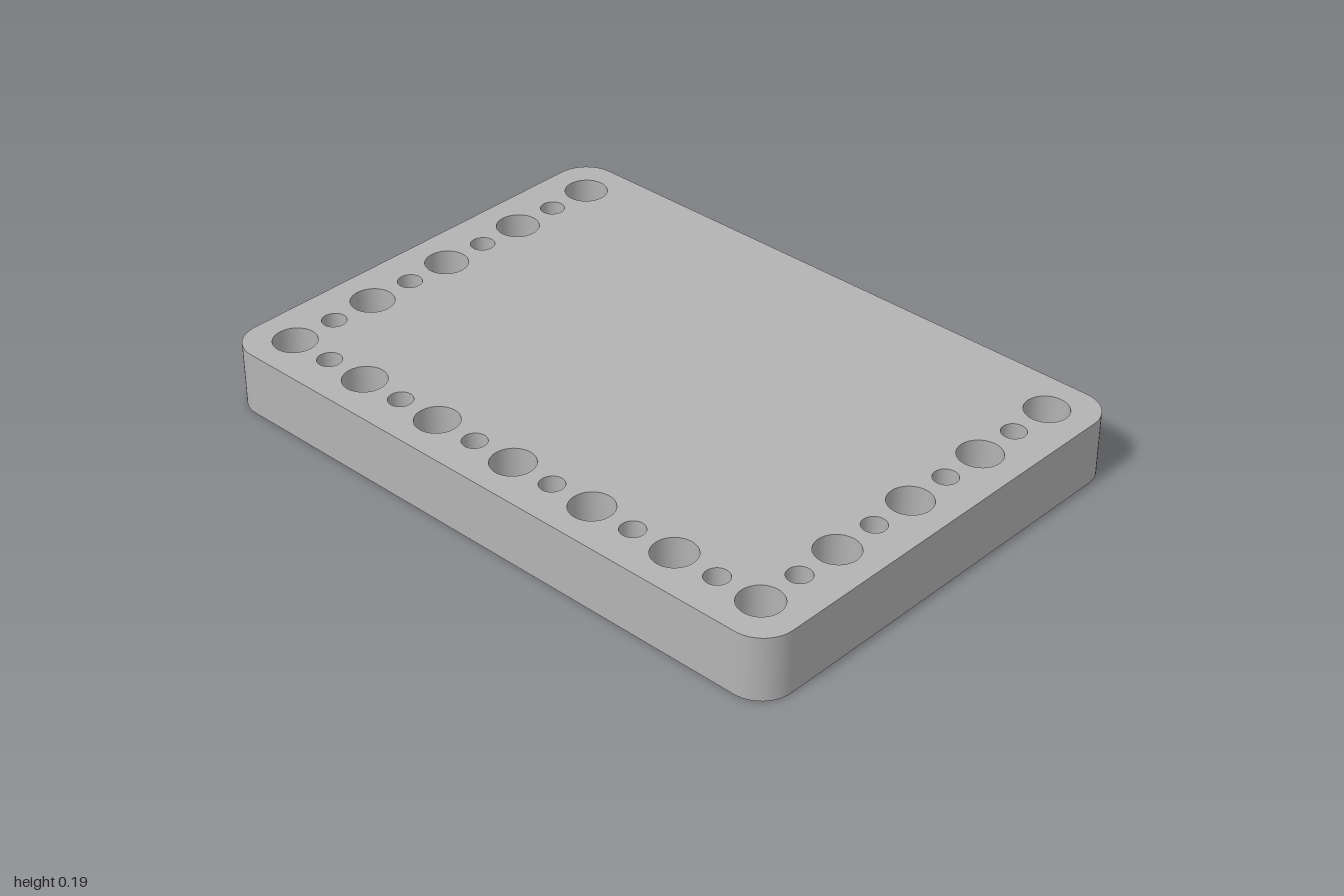
import * as THREE from 'three';

const W = 1, D = 0.71, H = 0.195, CORNER = 0.1;      // half width, half depth, height, corner radius
const PITCH = 0.1443;                                // spacing of the holes
const BIG = 0.064, SMALL = 0.036;                    // hole radii
const GROOVES = [-0.72, -0.24, 0.24, 0.72];          // x of each underside groove
const GROOVE_R = 0.05, GROOVE_END = 0.433;
const RECESS_R = 0.17, RECESS_Z = -D + 0.05;         // arched recess at the back of each groove

// Holes run down both sides and along the front, large and small in turn
function holeList() {
  const holes = [];
  const radius = i => (i % 2 === 0 ? BIG : SMALL);
  for (let i = -6; i <= 6; i++) holes.push({ x: i * PITCH, z: 4 * PITCH, r: radius(i) });
  for (let i = -4; i < 4; i++) {
    for (const side of [-1, 1]) holes.push({ x: side * 6 * PITCH, z: i * PITCH, r: radius(i) });
  }
  return holes;
}

// Rounded plate outline; s = 1 draws z as is, s = -1 mirrors it. The back edge may be notched.
function plateShape(holes, s, notched) {
  const shape = new THREE.Shape();
  const corner = (x, z, a) => {
    for (let i = 0; i <= 12; i++) {
      const t = a + (i / 12) * Math.PI / 2;
      shape.lineTo(x + CORNER * Math.cos(t), s * (z + CORNER * Math.sin(t)));
    }
  };
  const cx = W - CORNER, cz = D - CORNER;
  shape.moveTo(W, s * -cz);
  corner(cx, cz, 0);
  corner(-cx, cz, Math.PI / 2);
  corner(-cx, -cz, Math.PI);
  if (notched) {
    for (const g of GROOVES) {
      const half = [[RECESS_R, -D], [RECESS_R, RECESS_Z], [GROOVE_R, RECESS_Z], [GROOVE_R, GROOVE_END]];
      half.forEach(([w, z]) => shape.lineTo(g - w, s * z));
      half.reverse().forEach(([w, z]) => shape.lineTo(g + w, s * z));
    }
  }
  corner(cx, -cz, -Math.PI / 2);
  for (const h of holes) {
    shape.holes.push(new THREE.Path().absarc(h.x, s * h.z, h.r, 0, Math.PI * 2, true));
  }
  return shape;
}

// Half tube open to below, running along z
function halfTube(r, z0, z1) {
  return new THREE.CylinderGeometry(r, r, z1 - z0, 32, 1, true, Math.PI / 2, Math.PI)
    .rotateX(Math.PI / 2).translate(0, 0, (z0 + z1) / 2);
}

export function createModel() {
  const model = new THREE.Group();
  model.name = 'groovedBlock';
  const grey = new THREE.MeshStandardMaterial({ color: 0xb3b3b3, side: THREE.DoubleSide });
  grey.name = 'grey';

  const add = (name, geometry, parent = model) => {
    const mesh = new THREE.Mesh(geometry, grey);
    mesh.name = name;
    parent.add(mesh);
    return mesh;
  };
  const holes = holeList();

  // Top and underside
  add('topFace', new THREE.ShapeGeometry(plateShape(holes, -1, false), 16)
    .rotateX(-Math.PI / 2).translate(0, H, 0));
  add('underside', new THREE.ShapeGeometry(plateShape(holes, 1, true), 16).rotateX(Math.PI / 2));

  // Outer walls
  const cx = W - CORNER, cz = D - CORNER;
  add('frontWall', new THREE.PlaneGeometry(2 * cx, H).translate(0, H / 2, D));
  for (const side of [-1, 1]) {
    add(side > 0 ? 'leftWall' : 'rightWall', new THREE.PlaneGeometry(2 * cz, H)
      .rotateY(side * Math.PI / 2).translate(side * W, H / 2, 0));
  }
  [[1, 1], [1, -1], [-1, -1], [-1, 1]].forEach(([sx, sz], i) => {
    add('roundedCorner', new THREE.CylinderGeometry(CORNER, CORNER, H, 12, 1, true, i * Math.PI / 2, Math.PI / 2)
      .translate(sx * cx, H / 2, sz * cz));
  });

  // Back wall with an arch over each recess
  const back = new THREE.Shape();
  back.moveTo(-cx, H).lineTo(-cx, 0);
  for (const g of GROOVES) {
    back.lineTo(g - RECESS_R, 0);
    back.absarc(g, 0, RECESS_R, Math.PI, 0, true);
  }
  back.lineTo(cx, 0).lineTo(cx, H);
  add('backWall', new THREE.ShapeGeometry(back, 32).rotateY(Math.PI).translate(0, 0, -D));

  // Walls of the through holes
  for (const h of holes) {
    add('holeWall', new THREE.CylinderGeometry(h.r, h.r, H, 32, 1, true).translate(h.x, H / 2, h.z));
  }

  // Grooves with their recesses
  const recessFace = new THREE.Shape();
  recessFace.moveTo(RECESS_R, 0);
  recessFace.absarc(0, 0, RECESS_R, 0, Math.PI, false);
  recessFace.lineTo(-GROOVE_R, 0);
  recessFace.absarc(0, 0, GROOVE_R, Math.PI, 0, true);
  for (const g of GROOVES) {
    const groove = new THREE.Group();
    groove.name = 'groove';
    groove.position.x = g;
    add('recessArch', halfTube(RECESS_R, -D, RECESS_Z), groove);
    add('recessFace', new THREE.ShapeGeometry(recessFace, 32).rotateY(Math.PI).translate(0, 0, RECESS_Z), groove);
    add('grooveChannel', halfTube(GROOVE_R, RECESS_Z, GROOVE_END), groove);
    add('grooveEnd', new THREE.CircleGeometry(GROOVE_R, 32, 0, Math.PI)
      .rotateY(Math.PI).translate(0, 0, GROOVE_END), groove);
    model.add(groove);
  }
  return model;
}
